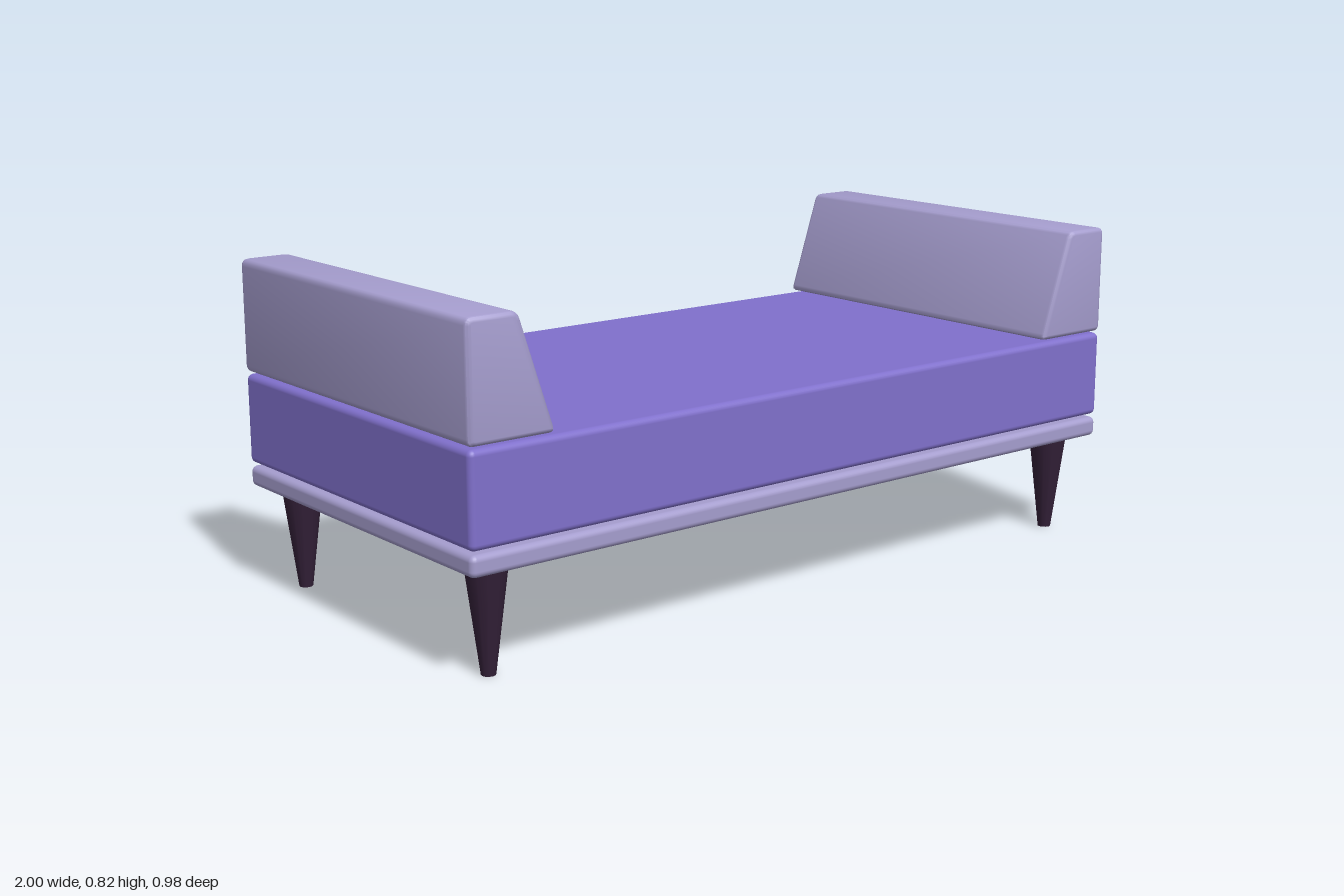
import * as THREE from 'three';
import { RoundedBoxGeometry } from 'three/addons/geometries/RoundedBoxGeometry.js';
import { toCreasedNormals } from 'three/addons/utils/BufferGeometryUtils.js';

const WIDTH = 2, DEPTH = 0.98;

function material(name, color) {
  const m = new THREE.MeshStandardMaterial({ color });
  m.name = name;
  return m;
}

// Closed outline with each corner softened by a short curve
function roundedOutline(corners, radius) {
  const shape = new THREE.Shape();
  const pts = corners.map(([x, y]) => new THREE.Vector2(x, y));
  pts.forEach((p, i) => {
    const prev = pts[(i + pts.length - 1) % pts.length];
    const next = pts[(i + 1) % pts.length];
    const a = prev.clone().sub(p).setLength(radius).add(p);
    const b = next.clone().sub(p).setLength(radius).add(p);
    if (i === 0) shape.moveTo(a.x, a.y);
    else shape.lineTo(a.x, a.y);
    shape.quadraticCurveTo(p.x, p.y, b.x, b.y);
  });
  shape.closePath();
  return shape;
}

export function createModel() {
  const group = new THREE.Group();
  group.name = 'daybed';
  const violet = material('violet fabric', 0x8070cc);
  const lilac = material('lilac fabric', 0xa59dce);
  const darkWood = material('dark wood', 0x332038);

  const add = (name, geometry, mat, x = 0, y = 0, z = 0) => {
    const mesh = new THREE.Mesh(geometry, mat);
    mesh.name = name;
    mesh.position.set(x, y, z);
    group.add(mesh);
    return mesh;
  };

  // Base rail and mattress
  add('baseFrame', new RoundedBoxGeometry(WIDTH, 0.051, DEPTH, 3, 0.015), lilac, 0, 0.2805, 0);
  add('mattress', new RoundedBoxGeometry(WIDTH, 0.222, DEPTH, 3, 0.015), violet, 0, 0.425, 0);

  // Wedge-shaped armrests, sloped on the inner side
  const bevel = 0.012;
  const outline = roundedOutline([[0.775, 0.541], [1, 0.541], [1, 0.818], [0.868, 0.818]], 0.018);
  const wedge = new THREE.ExtrudeGeometry(outline, {
    depth: DEPTH - 2 * bevel, bevelThickness: bevel, bevelSize: bevel,
    bevelOffset: -bevel, bevelSegments: 3, curveSegments: 4,
  });
  wedge.translate(0, 0, -DEPTH / 2 + bevel);
  const armrest = toCreasedNormals(wedge, 0.6);
  add('leftArmrest', armrest, lilac);
  add('rightArmrest', armrest, lilac).rotation.y = Math.PI;

  // Tapered legs
  const leg = new THREE.CylinderGeometry(0.05, 0.017, 0.257, 12);
  for (const x of [-0.907, 0.907]) {
    for (const z of [-0.403, 0.403]) {
      add(`${z > 0 ? 'front' : 'back'}${x > 0 ? 'Left' : 'Right'}Leg`, leg, darkWood, x, 0.1285, z);
    }
  }
  return group;
}
